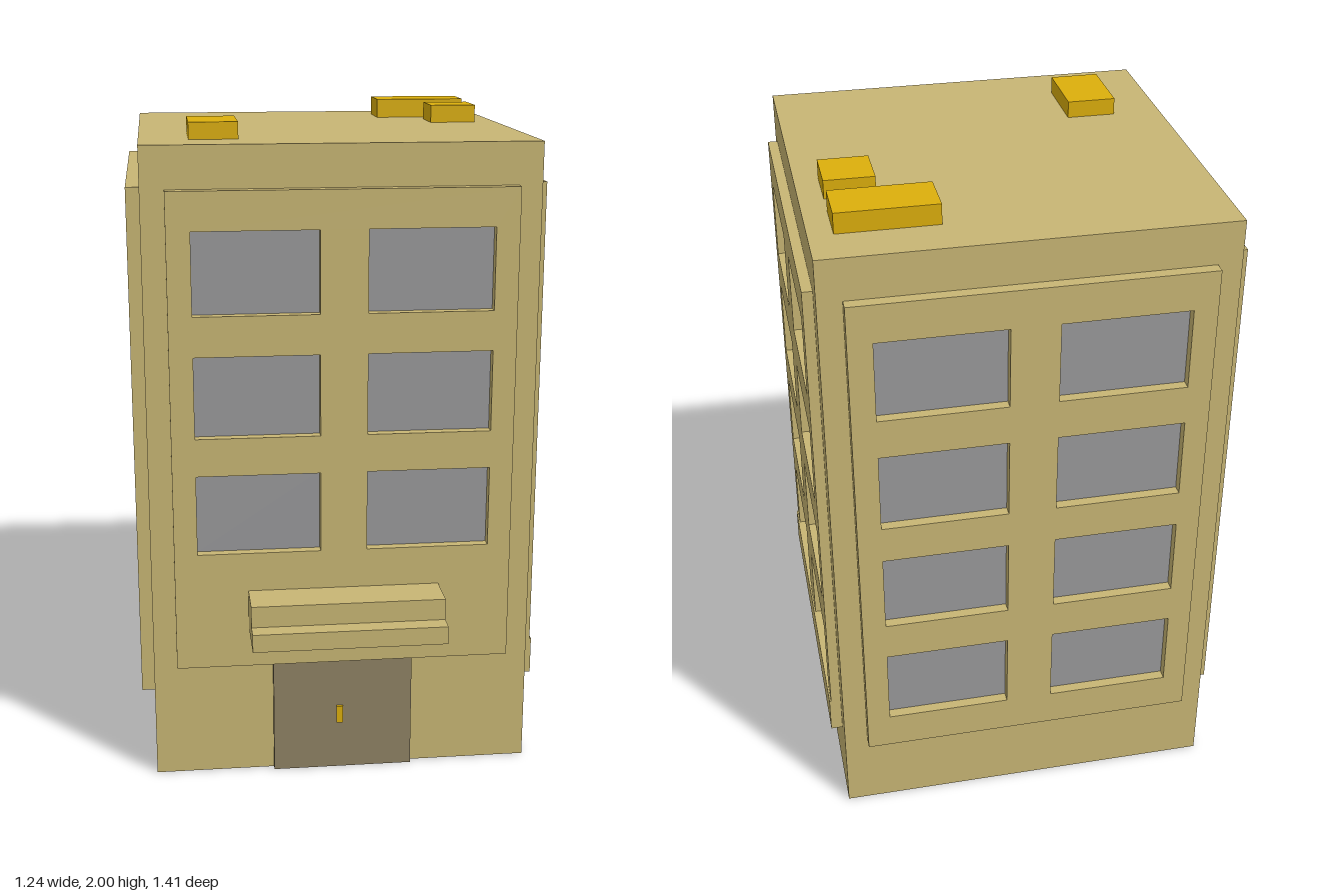
import * as THREE from 'three';

const material = (color) => new THREE.MeshStandardMaterial({ color, flatShading: true });
const wall = material(0xc8b674);
const glass = material(0x99999b);
const wood = material(0x8f8264);
const yellow = material(0xdcaf0c);

// Box given by its lower and upper limits on each axis
function box(name, mat, [x0, x1], [y0, y1], [z0, z1]) {
  const mesh = new THREE.Mesh(new THREE.BoxGeometry(x1 - x0, y1 - y0, z1 - z0), mat);
  mesh.position.set((x0 + x1) / 2, (y0 + y1) / 2, (z0 + z1) / 2);
  mesh.name = name;
  return mesh;
}

function rectangle(Type, x0, x1, y0, y1) {
  return new Type([[x0, y0], [x1, y0], [x1, y1], [x0, y1]].map((p) => new THREE.Vector2(...p)));
}

// Raised wall panel with two columns of recessed windows, facing local +z
function facade(name, bottom, rows, depth) {
  const group = new THREE.Group();
  group.name = name;
  const shape = rectangle(THREE.Shape, -0.51, 0.51, bottom, 1.815);
  for (const y of rows) {
    for (const x of [-0.44, 0.07]) {
      shape.holes.push(rectangle(THREE.Path, x, x + 0.37, y, y + 0.245));
      group.add(box('windowPane', glass, [x, x + 0.37], [y, y + 0.245], [-0.004, 0.004]));
    }
  }
  const geometry = new THREE.ExtrudeGeometry(shape, { depth, bevelEnabled: false });
  const panel = new THREE.Mesh(geometry, wall);
  panel.name = 'wallPanel';
  group.add(panel);
  return group;
}

export function createModel() {
  const model = new THREE.Group();
  model.name = 'apartmentBuilding';
  model.add(box('body', wall, [-0.58, 0.58], [0, 1.94], [-0.67, 0.49]));

  // Window panels on all four sides; the front starts above the door
  const rows = [0.365, 0.73, 1.09, 1.455];
  const sides = [
    ['frontFacade', 0.365, rows.slice(1), 0.035, 0, 0, 0.49],
    ['backFacade', 0.25, rows, 0.035, Math.PI, 0, -0.67],
    ['leftFacade', 0.25, rows, 0.03, Math.PI / 2, 0.58, -0.09],
    ['rightFacade', 0.25, rows, 0.04, -Math.PI / 2, -0.58, -0.09],
  ];
  for (const [name, bottom, levels, depth, turn, x, z] of sides) {
    const side = facade(name, bottom, levels, depth);
    side.rotation.y = turn;
    side.position.set(x, 0, z);
    model.add(side);
  }
  model.add(box('leftBaseStrip', wall, [0.58, 0.615], [0.25, 0.365], [-0.6, 0.42]));

  // Entrance
  model.add(
    box('door', wood, [-0.215, 0.215], [0, 0.365], [0.48, 0.51]),
    box('doorHandle', yellow, [-0.02, 0], [0.155, 0.21], [0.505, 0.52]),
    box('canopyLower', wall, [-0.29, 0.29], [0.49, 0.545], [0.52, 0.71]),
    box('canopyUpper', wall, [-0.29, 0.29], [0.545, 0.61], [0.52, 0.655]),
  );

  // Roof units
  model.add(
    box('roofUnitLarge', yellow, [0.22, 0.51], [1.93, 2], [-0.53, -0.385]),
    box('roofUnitSmall', yellow, [0.365, 0.51], [1.93, 1.995], [-0.31, -0.165]),
    box('roofUnitFront', yellow, [-0.435, -0.29], [1.93, 1.99], [0.125, 0.34]),
  );
  return model;
}
